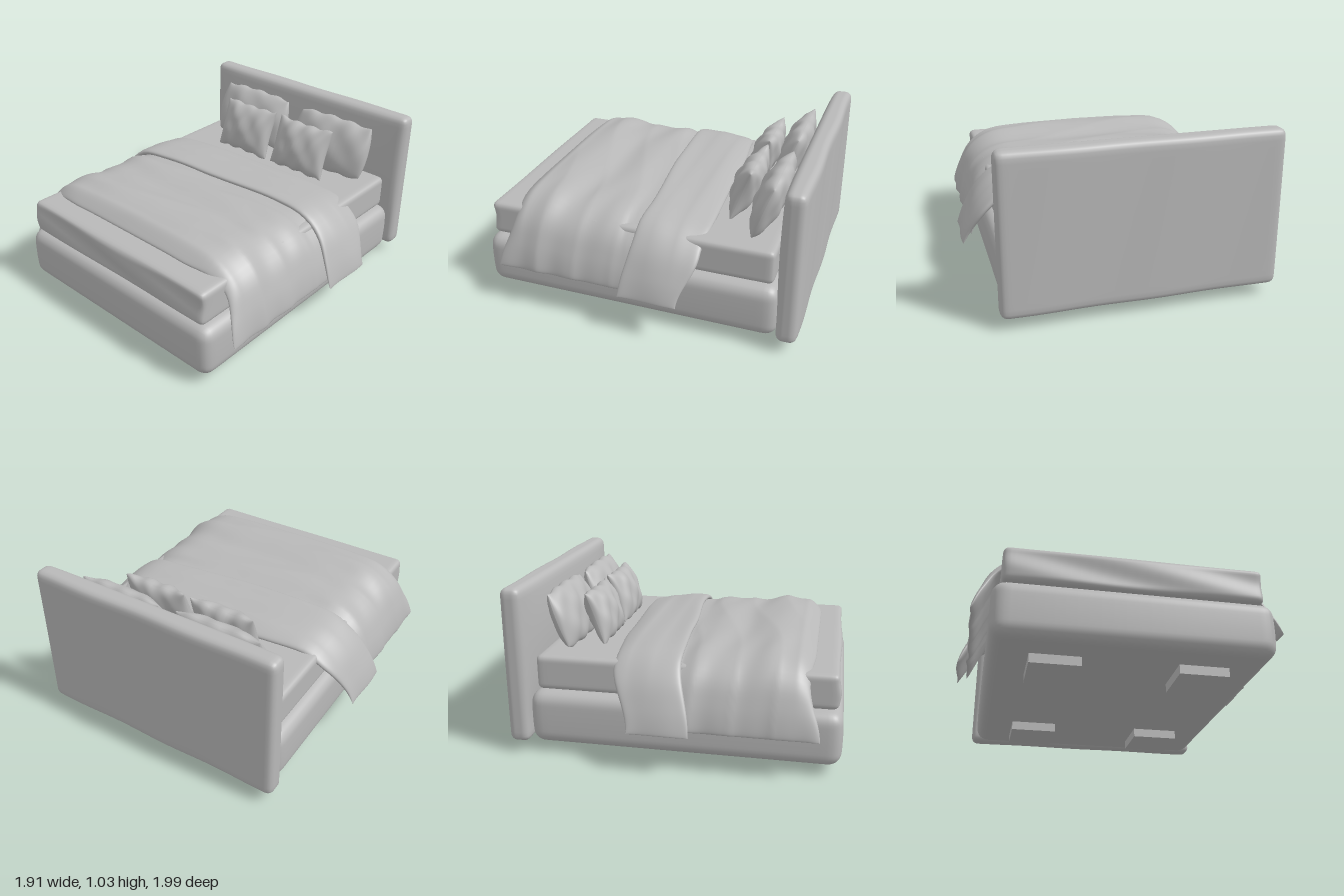
import * as THREE from 'three';
import { mergeVertices } from 'three/addons/utils/BufferGeometryUtils.js';

const fabric = new THREE.MeshStandardMaterial({ color: 0xb8b8b8 });
fabric.name = 'grey fabric';

const spread = (k) => Math.sin((k * Math.PI) / 2); // crowds grid lines towards the edges
const clamp = THREE.MathUtils.clamp;

// Smooth interpolation through [position, value] pairs
function along(pairs, p) {
  if (p <= pairs[0][0]) return pairs[0][1];
  for (let i = 1; i < pairs.length; i++) {
    const [a, va] = pairs[i - 1], [b, vb] = pairs[i];
    if (p <= b) return va + (vb - va) * THREE.MathUtils.smoothstep(p, a, b);
  }
  return pairs[pairs.length - 1][1];
}

function addMesh(parent, name, geometry, x = 0, y = 0, z = 0) {
  const mesh = new THREE.Mesh(geometry, fabric);
  mesh.name = name;
  mesh.position.set(x, y, z);
  parent.add(mesh);
  return mesh;
}

// Upholstered block: a subdivided box with rounded edges, then shaped by a rule
function softBox(w, h, d, r, rule) {
  let geo = new THREE.BoxGeometry(2, 2, 2, 36, 24, 36);
  geo.deleteAttribute('uv');
  geo.deleteAttribute('normal');
  geo = mergeVertices(geo);
  const pos = geo.attributes.position;
  const half = new THREE.Vector3(w / 2, h / 2, d / 2);
  const p = new THREE.Vector3(), core = new THREE.Vector3();
  for (let i = 0; i < pos.count; i++) {
    p.fromBufferAttribute(pos, i);
    p.set(spread(p.x), spread(p.y), spread(p.z)).multiply(half);
    for (const k of ['x', 'y', 'z']) core[k] = clamp(p[k], r - half[k], half[k] - r);
    p.sub(core).normalize().multiplyScalar(r).add(core);
    if (rule) rule(p);
    pos.setXYZ(i, p.x, p.y, p.z);
  }
  geo.computeVertexNormals();
  return geo;
}

// Closed padded sheet: an upper and a lower skin that meet at the rim
function padded(nu, nv, point) {
  const verts = [], index = [];
  for (const side of [1, -1]) {
    const base = verts.length / 3;
    for (let i = 0; i <= nu; i++) {
      for (let j = 0; j <= nv; j++) {
        verts.push(...point(spread((2 * i) / nu - 1), spread((2 * j) / nv - 1), side));
        if (i === nu || j === nv) continue;
        const a = base + i * (nv + 1) + j, b = a + 1, c = a + nv + 1, d = c + 1;
        if (side > 0) index.push(a, b, c, b, d, c);
        else index.push(a, c, b, b, c, d);
      }
    }
  }
  const geo = new THREE.BufferGeometry();
  geo.setAttribute('position', new THREE.Float32BufferAttribute(verts, 3));
  geo.setIndex(index);
  geo.computeVertexNormals();
  return geo;
}

// Cloth draped over the bed; half is the cross-section from the middle to the hem
function drape({ half, thick, lift, back, front, wrinkle }) {
  const curve = new THREE.CatmullRomCurve3(half.map(([x, y]) => new THREE.Vector3(x, y, 0)));
  const cache = new Map();
  const section = (k) => {
    if (!cache.has(k)) cache.set(k, [curve.getPointAt(k), curve.getTangentAt(k)]);
    return cache.get(k);
  };
  return padded(64, 90, (s, v, side) => {
    const [p, tan] = section(Math.min(1, Math.abs(s)));
    const z0 = along(back, s), z1 = along(front, s);
    const z = z0 + ((z1 - z0) * (v + 1)) / 2;
    const rim = Math.sqrt(Math.max(0, (1 - s ** 8) * (1 - v ** 10)));
    const off = (side * thick * rim) / 2 + wrinkle(s, z) * (1 - v ** 4);
    const x = p.x - tan.y * off;
    const y = p.y + tan.x * off + along(lift, z) * (1 - s ** 4);
    return [s < 0 ? -x : x, y, z];
  });
}

// Pillow: round > 0 softens the corners, round < 0 draws them out into points
function pillow(w, h, d, round, seed) {
  return padded(32, 32, (u, v, side) => {
    const puff = Math.max(0, (1 - u * u) * (1 - v * v)) ** 0.45;
    const crease = 0.012 * Math.sin(9 * u + seed) * Math.sin(4 * v + 2 * u + seed) * puff;
    const x = u * (w / 2) * (round > 0 ? Math.sqrt(1 - round * v * v) : 1 + round * (1 - v * v));
    const y = -v * (h / 2) * (round > 0 ? Math.sqrt(1 - round * u * u) : 1 + round * (1 - u * u));
    return [x, y + 0.006 * Math.sin(11 * u + seed) * v * v, side * (d / 2) * puff + crease];
  });
}

export function createModel() {
  const bed = new THREE.Group();
  bed.name = 'bed';

  // Feet
  for (const x of [-0.415, 0.425]) {
    for (const z of [0.635, -0.505]) {
      addMesh(bed, 'foot', new THREE.BoxGeometry(0.29, 0.07, 0.3), x, 0.035, z);
    }
  }

  // Upholstered base, slightly fuller at mid height
  addMesh(bed, 'base', softBox(1.57, 0.335, 1.85, 0.075, (p) => {
    const belly = 1 + 0.008 * (1 - (p.y / 0.17) ** 2);
    p.x *= belly;
    p.z *= belly;
  }), 0.005, 0.222, 0.065);

  // Mattress with a loosely creased sheet
  addMesh(bed, 'mattress', softBox(1.48, 0.215, 1.79, 0.035, (p) => {
    if (p.z > 0.8) p.z += 0.01 * Math.sin(6 * p.x + 22 * p.y) * (1 - (p.y / 0.11) ** 2);
  }), 0.005, 0.5, 0.07);

  // Headboard, padded at the front of its upper half
  addMesh(bed, 'headboard', softBox(1.645, 0.96, 0.125, 0.045, (p) => {
    if (p.z > 0) {
      const tall = clamp(1 - ((p.y - 0.1) / 0.4) ** 2, 0, 1);
      p.z += 0.035 * tall * clamp(1 - (p.x / 0.82) ** 6, 0, 1);
    } else {
      p.z += 0.004 * Math.sin(9 * p.x + 2 * p.y);
    }
  }), 0.005, 0.55, -0.927);

  // Duvet with folds running across it
  addMesh(bed, 'duvet', drape({
    half: [[0, 0.66], [0.42, 0.655], [0.64, 0.63], [0.76, 0.55], [0.83, 0.42], [0.885, 0.26]],
    thick: 0.06,
    lift: [[-0.2, -0.04], [0.02, -0.035], [0.2, -0.005], [0.37, -0.015], [0.58, 0.022], [0.72, 0.01], [0.83, -0.04]],
    back: [[-1, -0.16], [0, -0.2], [1, -0.2]],
    front: [[-1, 0.87], [-0.68, 0.8], [-0.4, 0.82], [0.4, 0.82], [0.68, 0.79], [1, 0.86]],
    wrinkle: (s, z) => {
      const ridge = 1 - 2 * Math.abs(Math.sin(13 * z + 2.2 * s + 0.8 * Math.sin(4 * s)));
      const fine = Math.sin(31 * z - 5 * s + Math.sin(6 * s));
      return (0.007 * ridge + 0.004 * fine) * (0.35 + 0.65 * Math.abs(s)) * (z > 0.05 ? 1 : 0.3);
    },
  }));

  // Turned-down top of the duvet
  addMesh(bed, 'duvetFold', drape({
    half: [[0, 0.668], [0.45, 0.662], [0.68, 0.63], [0.8, 0.535], [0.885, 0.39], [0.945, 0.25]],
    thick: 0.045,
    lift: [[-0.41, -0.05], [-0.25, -0.018], [-0.1, -0.006], [0.05, 0.006]],
    back: [[-1, -0.22], [-0.62, -0.34], [-0.2, -0.38], [0.5, -0.41], [0.7, -0.4], [1, -0.31]],
    front: [[-1, 0.14], [-0.6, 0.06], [-0.15, 0.04], [0.45, -0.01], [0.65, 0], [1, 0.05]],
    wrinkle: (s, z) => 0.005 * Math.sin(14 * z + 5 * s) * (0.4 + Math.abs(s)),
  }));

  // Pillows: two large ones leaning on the headboard, two small ones in front
  const pillows = [
    ['largePillow', [0.6, 0.37, 0.17, 0.14, 1], [-0.325, 0.785, -0.715]],
    ['largePillow', [0.6, 0.37, 0.17, 0.14, 3], [0.36, 0.775, -0.715]],
    ['smallPillow', [0.43, 0.34, 0.17, -0.06, 2], [-0.235, 0.765, -0.54]],
    ['smallPillow', [0.43, 0.34, 0.17, -0.06, 5], [0.24, 0.765, -0.54]],
  ];
  for (const [name, shape, at] of pillows) {
    addMesh(bed, name, pillow(...shape), ...at).rotation.x = -0.34;
  }

  return bed;
}
